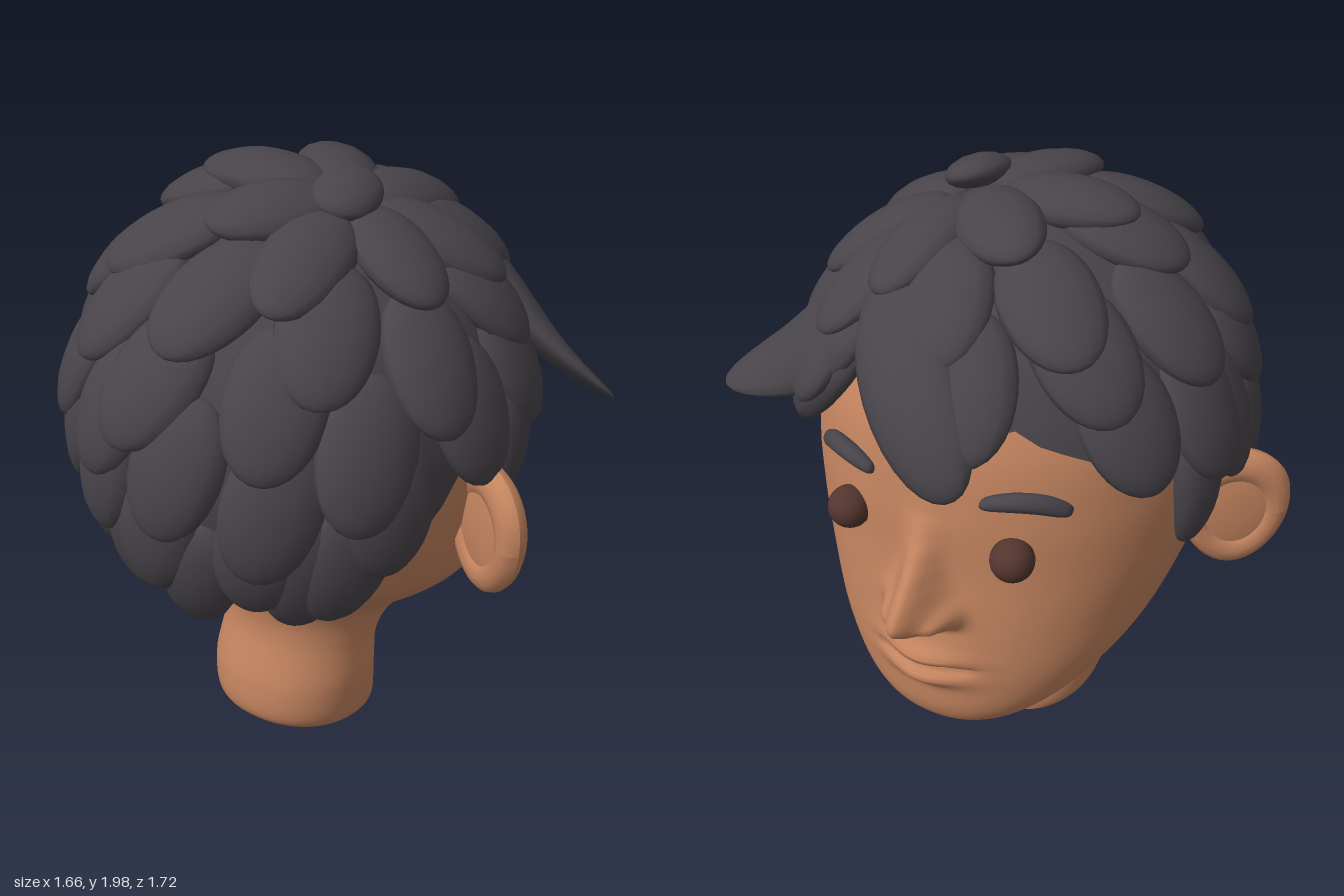
import * as THREE from 'three';
import { mergeVertices } from 'three/addons/utils/BufferGeometryUtils.js';

const V = (x, y, z) => new THREE.Vector3(x, y, z);
const skin = new THREE.MeshStandardMaterial({ name: 'skin', color: 0xc4845f });
const hair = new THREE.MeshStandardMaterial({ name: 'hair', color: 0x48444a, side: THREE.DoubleSide });
const iris = new THREE.MeshStandardMaterial({ name: 'darkBrown', color: 0x54352f });

function mesh(name, geometry, material, parent) {
  const m = new THREE.Mesh(geometry, material);
  m.name = name;
  parent.add(m);
  return m;
}

// Weld seams and smooth
function smooth(g) {
  g.deleteAttribute('uv');
  g.deleteAttribute('normal');
  const out = mergeVertices(g, 1e-4);
  out.computeVertexNormals();
  return out;
}

// Surface from fn(u, v): u runs upward, v runs round from +x to +z
function grid(fn, nu, nv) {
  const pos = [], idx = [];
  for (let i = 0; i <= nu; i++) for (let j = 0; j <= nv; j++) {
    pos.push(...fn(i / nu, (j % nv) / nv * Math.PI * 2).toArray());
    if (i < nu && j < nv) {
      const a = i * (nv + 1) + j, b = a + nv + 1;
      idx.push(a, b, a + 1, b, b + 1, a + 1);
    }
  }
  const g = new THREE.BufferGeometry();
  g.setAttribute('position', new THREE.Float32BufferAttribute(pos, 3));
  g.setIndex(idx);
  return smooth(g);
}

// Straight-line lookup in rows of [key, value, value...]
function lookup(table, key, column = 1) {
  const i = table.findIndex(r => r[0] > key);
  if (i < 1) return table[i < 0 ? table.length - 1 : 0][column];
  const a = table[i - 1], b = table[i];
  return a[column] + (b[column] - a[column]) * (key - a[0]) / (b[0] - a[0]);
}

// Nose by height: [y, projection, half width]
const NOSE = [[0.805, 0, 0.085], [0.825, 0.07, 0.085], [0.85, 0.14, 0.085], [0.88, 0.185, 0.08], [0.91, 0.2, 0.072],
  [0.95, 0.178, 0.062], [1.0, 0.13, 0.054], [1.06, 0.078, 0.05], [1.12, 0.036, 0.05], [1.2, 0.006, 0.05], [1.26, 0, 0.05]];
const hump = (t, centre, size, power = 2) => Math.exp(-(Math.abs((t - centre) / size) ** power));

// Forward relief of the face: nose, nostrils and lips
function relief(y, z) {
  const nose = lookup(NOSE, y) * hump(z, 0, lookup(NOSE, y, 2));
  const nostrils = 0.055 * hump(y, 0.872, 0.035) * hump(Math.abs(z), 0.088, 0.032);
  const lips = (0.034 * hump(y, 0.692, 0.03) + 0.036 * hump(y, 0.612, 0.032)) * hump(z, 0, 0.125)
    + 0.018 * hump(y, 0.7, 0.1) * hump(z, 0, 0.15) - 0.03 * hump(y, 0.655, 0.012) * hump(z, 0, 0.16, 6);
  return nose + nostrils + lips;
}

// Tilted oval rings, each [front x, front y, back x, back y, half width], with relief on the face
function headSurface(rings) {
  const front = new THREE.CatmullRomCurve3(rings.map(r => V(r[0], r[1], r[4])), false, 'catmullrom', 0.5);
  const back = new THREE.CatmullRomCurve3(rings.map(r => V(r[2], r[3], 0)), false, 'catmullrom', 0.5);
  const pw = c => Math.sign(c) * Math.abs(c) ** 0.92;
  return grid((u, t) => {
    const v = t - 0.6 * Math.sin(t); // closer columns on the face
    const f = front.getPoint(u), b = back.getPoint(u), k = (1 + pw(Math.cos(v))) / 2;
    const p = V(b.x + (f.x - b.x) * k, b.y + (f.y - b.y) * k, Math.max(f.z, 0) * pw(Math.sin(v)));
    if (p.x > 0.4) p.x += relief(p.y, p.z);
    return p;
  }, 224, 112);
}

// Unit sphere with poles on x, each vertex moved by rule(x, y, z)
function bentSphere(rule) {
  const g = new THREE.SphereGeometry(1, 16, 16).rotateZ(-Math.PI / 2), p = g.attributes.position;
  for (let i = 0; i < p.count; i++) p.setXYZ(i, ...rule(p.getX(i), p.getY(i), p.getZ(i)).toArray());
  return smooth(g);
}

// Blunt-ended strip along a curve that runs toward -z
function strip(points, ry, rx) {
  const curve = new THREE.CatmullRomCurve3(points);
  return bentSphere((x, y, z) => {
    const k = Math.max(1 - x * x, 1e-3) ** -0.25;
    return curve.getPoint(THREE.MathUtils.clamp((x + 1) / 2, 0, 1)).add(V(z * rx * k, y * ry * k, 0));
  });
}

// Hair lies on an ellipsoid, addressed by unit directions
const CENTRE = V(-0.05, 1.22, 0), SEMI = V(0.718, 0.718, 0.68);
const onHead = (d, r) => d.clone().multiply(SEMI).multiplyScalar(r).add(CENTRE);
const dirOf = (x, y, z) => V(x, y, z).sub(CENTRE).divide(SEMI).normalize();
const crownDir = (polar, az) => V(Math.sin(polar) * Math.cos(az), Math.cos(polar), Math.sin(polar) * Math.sin(az))
  .applyAxisAngle(V(1, 0, 0), 0.27);

// Hairline height by angle from the face, with a parting on the left
const LINE = [[0, 1.42], [25, 1.44], [45, 1.33], [65, 1.22], [85, 1.15], [98, 1.16], [109, 0.95], [135, 0.8], [181, 0.72]];
function hairline(d) {
  const az = THREE.MathUtils.radToDeg(Math.atan2(d.z, d.x));
  return az > 5 && az < 38 ? 1.57 : lookup(LINE, Math.abs(az));
}
function clampPolar(polar, az, margin) {
  while (polar > 0.1) {
    const d = crownDir(polar, az);
    if (onHead(d, 1).y >= hairline(d) + margin) break;
    polar -= 0.03;
  }
  return polar;
}

// Leaf-shaped lock wrapped over the head
function lock(base, tip, width, { r0 = 0.955, r1 = 1.04, thick = 0.09, point = 0.04, flick = 2 } = {}) {
  const side = V(0, 0, 0).crossVectors(tip.clone().sub(base), base.clone().add(tip)).normalize();
  return bentSphere((x, y, z) => {
    const s = (x + 1) / 2;
    const d = base.clone().lerp(tip, s).normalize().addScaledVector(side, z * width * (1 - point * x)).normalize();
    return onHead(d, r0 + (r1 - r0) * s ** flick + y * thick);
  });
}

export function createModel() {
  const model = new THREE.Group();
  model.name = 'headBust';

  // Neck, jaw, face and skull in one skin
  mesh('headAndNeck', headSurface([
    [-0.07, 0.045, -0.07, 0.045, 0], [0.14, 0.012, -0.27, 0.07, 0.18], [0.17, 0.03, -0.36, 0.12, 0.255],
    [0.16, 0.2, -0.365, 0.25, 0.27], [0.19, 0.3, -0.32, 0.42, 0.255], [0.3, 0.35, -0.32, 0.52, 0.265],
    [0.46, 0.352, -0.35, 0.6, 0.305], [0.59, 0.37, -0.42, 0.66, 0.37], [0.648, 0.45, -0.49, 0.73, 0.45],
    [0.655, 0.6, -0.55, 0.81, 0.53], [0.64, 0.8, -0.63, 0.95, 0.588], [0.62, 1.0, -0.66, 1.1, 0.625],
    [0.61, 1.2, -0.68, 1.25, 0.63], [0.575, 1.42, -0.66, 1.42, 0.595], [0.48, 1.6, -0.55, 1.6, 0.49],
    [0.28, 1.76, -0.35, 1.76, 0.29], [-0.04, 1.84, -0.04, 1.84, 0],
  ]), skin, model);

  for (const s of [1, -1]) {
    const side = s > 0 ? 'left' : 'right';
    const eye = mesh(side + 'Eye', new THREE.SphereGeometry(0.066, 24, 16), iris, model);
    eye.position.set(0.586, 1.11, s * 0.273);

    const brow = [V(0.59, 1.28, s * 0.175), V(0.572, 1.301, s * 0.26), V(0.535, 1.296, s * 0.34), V(0.485, 1.262, s * 0.41)];
    mesh(side + 'Eyebrow', strip(s > 0 ? brow.reverse() : brow, 0.029, 0.032), hair, model);

    // Ear: bowl with a thick raised rim, swept back
    const ear = new THREE.Group();
    ear.name = side + 'Ear';
    ear.position.set(-0.09, 0.99, s * 0.7);
    ear.rotation.y = -2.1 * s;
    model.add(ear);
    mesh('earBowl', new THREE.SphereGeometry(1, 24, 16).scale(0.16, 0.2, 0.042), skin, ear);
    const rim = new THREE.TorusGeometry(0.125, 0.047, 12, 36);
    const p = rim.attributes.position;
    for (let i = 0; i < p.count; i++) {
      const y = p.getY(i);
      p.setXY(i, p.getX(i) * (1.02 + y * 0.8), y * 1.25);
    }
    rim.computeVertexNormals();
    mesh('earRim', rim, skin, ear);
  }

  // Hair base under the locks
  const hairGroup = new THREE.Group();
  hairGroup.name = 'hair';
  model.add(hairGroup);
  mesh('hairCap', grid((u, v) => onHead(crownDir(clampPolar(2.5, v, 0.06) * (1 - u), v), 0.96), 24, 72), hair, hairGroup);

  // Overlapping rows of locks from the crown down: [tip angle, count, half width]
  const rows = [[40, 7, 0.19], [61, 9, 0.22], [81, 12, 0.225], [100, 14, 0.22], [118, 15, 0.205], [136, 15, 0.185]];
  rows.forEach(([deg, count, width], r) => {
    for (let i = 0; i < count; i++) {
      const az = (i + (r % 2) / 2) / count * Math.PI * 2 + 0.15;
      const wobble = Math.sin(i * 2.7 + r * 1.9);
      const want = THREE.MathUtils.degToRad(deg + wobble * 4), tip = clampPolar(want, az, 0);
      if (want - tip > 0.32) continue;
      const base = Math.max(0.06, tip - 0.62);
      mesh('lock', lock(crownDir(base, az), crownDir(tip, az + wobble * 0.06), width,
        { r1: 1.06 + wobble * 0.012 }), hair, hairGroup);
    }
  });
  mesh('crownLock', lock(dirOf(-0.22, 1.9, 0.2), dirOf(0.01, 1.9, 0.18), 0.14, { r0: 1.02, r1: 1.05, thick: 0.07 }), hair, hairGroup);

  // Fringe, swept lock and sideburns
  mesh('fringe', lock(dirOf(0.36, 1.8, 0.27), dirOf(0.66, 1.35, -0.15), 0.225, { r0: 0.99, r1: 1.09, thick: 0.1 }), hair, hairGroup);
  mesh('sweptLock', lock(dirOf(0.4, 1.7, 0.26), dirOf(0.38, 1.27, 0.86), 0.22, { r0: 0.99, r1: 1.4, point: 0.35, flick: 4 }), hair, hairGroup);
  mesh('sweptLockUnder', lock(dirOf(0.46, 1.62, 0.28), dirOf(0.34, 1.24, 0.6), 0.17, { r1: 1.03 }), hair, hairGroup);
  for (const s of [1, -1])
    mesh('sideburn', lock(dirOf(0.1, 1.45, s * 0.62), dirOf(0.12, 0.97, s * 0.62), 0.14, { r0: 0.97, r1: 0.99, point: 0.2 }), hair, hairGroup);

  return model;
}
